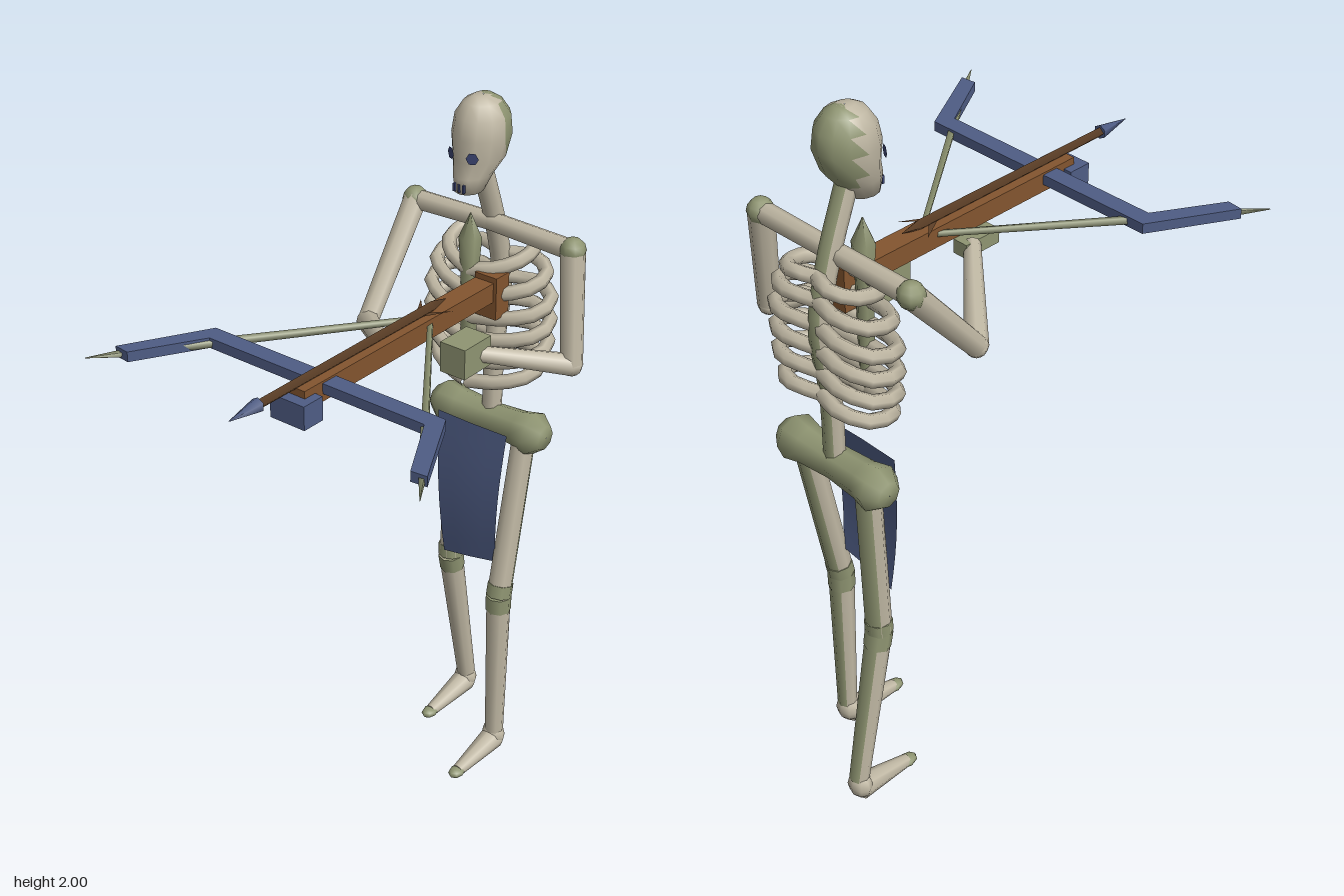
import * as THREE from 'three';
import { mergeVertices } from 'three/addons/utils/BufferGeometryUtils.js';

const mat = (name, color, side = THREE.FrontSide) => {
  const m = new THREE.MeshStandardMaterial({ color, side });
  m.name = name;
  return m;
};
const V = (x, y, z) => new THREE.Vector3(x, y, z);

export function createModel() {
  const bone = mat('pale bone', 0xbfb7a3);
  const moss = mat('mossy bone', 0x8f9572);
  const blue = mat('blue steel and cloth', 0x4f5d85, THREE.DoubleSide);
  const wood = mat('wood', 0x83552f);
  const dark = mat('dark wood', 0x5f4128, THREE.DoubleSide);
  const eyeMat = mat('eye blue', 0x3c4673, THREE.DoubleSide);

  const model = new THREE.Group();
  model.name = 'skeletonCrossbowman';
  const CX = -0.065; // body centre line

  const add = (name, geo, material, parent = model) => {
    const m = new THREE.Mesh(geo, material);
    m.name = name;
    parent.add(m);
    return m;
  };
  const group = (name, parent = model) => {
    const g = new THREE.Group();
    g.name = name;
    parent.add(g);
    return g;
  };
  const box = (name, x, y, z, w, h, d, material, parent) =>
    add(name, new THREE.BoxGeometry(w, h, d).translate(x, y, z), material, parent);

  // Tapered bar between two points
  const bar = (a, b, ra, rb, sides = 8) => {
    const dir = b.clone().sub(a);
    const g = new THREE.CylinderGeometry(rb, ra, dir.length(), sides);
    g.applyQuaternion(new THREE.Quaternion().setFromUnitVectors(V(0, 1, 0), dir.normalize()));
    const c = a.clone().add(b).multiplyScalar(0.5);
    return g.translate(c.x, c.y, c.z);
  };
  const ball = (p, r, sx = 1, sy = 1, sz = 1) =>
    new THREE.SphereGeometry(r, 8, 6).scale(sx, sy, sz).translate(p.x, p.y, p.z);

  // Splits the faces between pale (group 0) and mossy (group 1) bone
  const twoTone = (geo, isMoss) => {
    const pos = geo.attributes.position, idx = geo.index.array, lists = [[], []];
    for (let i = 0; i < idx.length; i += 3) {
      const t = [0, 1, 2].map(k => new THREE.Vector3().fromBufferAttribute(pos, idx[i + k]));
      const tri = new THREE.Triangle(...t);
      const hit = isMoss(tri.getMidpoint(V(0, 0, 0)), tri.getNormal(V(0, 0, 0)));
      lists[hit ? 1 : 0].push(idx[i], idx[i + 1], idx[i + 2]);
    }
    geo.setIndex([...lists[0], ...lists[1]]);
    geo.clearGroups();
    geo.addGroup(0, lists[0].length, 0);
    geo.addGroup(lists[0].length, lists[1].length, 1);
    return geo;
  };
  const backMoss = (c, n) => n.z < -0.4;
  const tones = [bone, moss];

  // Skull: rings of [y, half width, front z, back z]
  const head = group('head');
  const rings = [
    [1.757, 0.001, -0.385, -0.39], [1.757, 0.035, -0.345, -0.43], [1.80, 0.048, -0.34, -0.465],
    [1.84, 0.066, -0.352, -0.50], [1.90, 0.075, -0.348, -0.522], [1.95, 0.07, -0.36, -0.515],
    [1.985, 0.048, -0.383, -0.49], [2.0, 0.022, -0.41, -0.465], [2.0, 0.001, -0.435, -0.44]];
  let skull = new THREE.LatheGeometry(rings.map(r => new THREE.Vector2(r[1], r[0])), 12);
  const sp = skull.attributes.position;
  for (let i = 0; i < sp.count; i++) {
    const [, w, f, b] = rings[i % rings.length];
    sp.setXYZ(i, CX + sp.getX(i), sp.getY(i), (f + b) / 2 + (sp.getZ(i) / w) * (f - b) / 2);
  }
  skull.deleteAttribute('uv');
  skull.deleteAttribute('normal');
  skull = mergeVertices(skull, 1e-4);
  skull.computeVertexNormals();
  add('skull', twoTone(skull, c => c.z < -0.45 || c.y < 1.77), tones, head);
  for (const s of [-1, 1]) {
    const eye = add('eyeSocket', new THREE.CircleGeometry(0.017, 6), eyeMat, head);
    eye.position.set(CX + s * 0.034, 1.86, -0.351);
    eye.rotation.y = s * 0.45;
  }
  for (let i = -1; i <= 1; i++)
    box('toothGap', CX + i * 0.015, 1.775, -0.343, 0.006, 0.022, 0.006, eyeMat, head);

  // Spine and neck
  const spine = new THREE.CatmullRomCurve3([V(CX, 1.05, -0.51), V(CX, 1.25, -0.515), V(CX, 1.45, -0.54),
    V(CX, 1.62, -0.505), V(CX, 1.80, -0.44)]);
  add('spine', twoTone(new THREE.TubeGeometry(spine, 14, 0.028, 8), backMoss), tones);

  // Rib cage: six mirrored pairs of [back y, half width]
  const ribs = group('ribCage');
  [[1.59, 0.125], [1.525, 0.17], [1.455, 0.19], [1.39, 0.19], [1.325, 0.185], [1.26, 0.165]].forEach(([y, w]) => {
    for (const s of [-1, 1]) {
      const path = new THREE.CatmullRomCurve3([
        V(CX, y, -0.54), V(CX + s * w * 0.5, y + 0.005, -0.565), V(CX + s * w * 0.9, y - 0.01, -0.53),
        V(CX + s * w * 0.93, y - 0.025, -0.46), V(CX + s * w * 0.55, y - 0.045, -0.41), V(CX, y - 0.06, -0.39)]);
      add('rib', new THREE.TubeGeometry(path, 10, 0.02, 6), bone, ribs);
    }
  });
  const sternum = [[0.001, 1.19], [0.02, 1.23], [0.024, 1.52], [0.031, 1.62], [0.001, 1.69]];
  add('sternum', new THREE.LatheGeometry(sternum.map(p => new THREE.Vector2(...p)), 6)
    .translate(CX, 0, -0.395), moss, ribs);

  // Pelvis: a turned bar lying across x
  const hip = [[0.001, -0.19], [0.035, -0.187], [0.063, -0.15], [0.052, -0.1], [0.045, 0],
    [0.052, 0.1], [0.063, 0.15], [0.035, 0.187], [0.001, 0.19]];
  add('pelvis', new THREE.LatheGeometry(hip.map(p => new THREE.Vector2(...p)), 8)
    .rotateZ(Math.PI / 2).translate(CX, 1.035, -0.505), moss);

  // Legs: hip, knee, ankle, toe
  const leg = (name, x, hz, kz, az) => {
    const g = group(name);
    const h = V(x, 1.02, hz), k = V(x + 0.003, 0.545, kz), a = V(x + 0.003, 0.07, az);
    add('thigh', twoTone(bar(h, k, 0.034, 0.035), backMoss), tones, g);
    add('shin', twoTone(bar(k, a, 0.035, 0.027), backMoss), tones, g);
    const up = k.clone().lerp(h, 0.08), down = k.clone().lerp(a, 0.1);
    add('kneeUpper', bar(k, up, 0.037, 0.037), moss, g);
    add('kneeLower', bar(down, k, 0.036, 0.037), moss, g);
    add('heel', ball(V(x, 0.05, az), 0.038, 1, 1.05, 0.8), bone, g);
    const foot = bar(V(x, 0.04, az), V(x, 0.017, az + 0.17), 0.036, 0.018);
    add('foot', foot, bone, g);
    add('toe', ball(V(x, 0.016, az + 0.172), 0.02, 1.1, 0.75, 1.6), moss, g);
  };
  leg('rightLeg', -0.183, -0.51, -0.485, -0.572);
  leg('leftLeg', 0.055, -0.5, -0.4, -0.397);

  // Arms: shoulder, elbow, wrist and a blocky hand
  const arm = (name, s, e, w, hand, size) => {
    const g = group(name);
    add('collarBone', bar(V(CX, 1.635, -0.485), s, 0.026, 0.028), bone, g);
    add('shoulder', ball(s, 0.036), moss, g);
    add('upperArm', bar(s, e, 0.034, 0.03), bone, g);
    add('elbow', ball(e, 0.031), bone, g);
    add('forearm', bar(e, w, 0.031, 0.022), bone, g);
    box('hand', ...hand, ...size, moss, g);
  };
  arm('rightArm', V(-0.315, 1.63, -0.48), V(-0.288, 1.365, -0.245), V(-0.06, 1.455, -0.03),
    [-0.053, 1.45, -0.008], [0.045, 0.04, 0.115]);
  arm('leftArm', V(0.2, 1.63, -0.48), V(0.24, 1.33, -0.44), V(0.07, 1.39, -0.24),
    [0.055, 1.39, -0.225], [0.08, 0.085, 0.11]);

  // Loincloth: a bent sheet narrowing downward with a slanted hem
  const cloth = new THREE.PlaneGeometry(1, 1, 4, 8);
  const cp = cloth.attributes.position;
  for (let i = 0; i < cp.count; i++) {
    const u = cp.getX(i) + 0.5, t = 0.5 - cp.getY(i);
    const left = -0.18 + 0.035 * t, right = 0.055 - 0.02 * t;
    cp.setXYZ(i, left + (right - left) * u, 1.055 - t * (0.445 - 0.035 * u),
      -0.415 + 0.02 * Math.sin(t * 2.6) - 0.006 * Math.abs(u - 0.5));
  }
  cloth.computeVertexNormals();
  add('loincloth', cloth, blue);

  // Crossbow
  const bow = group('crossbow');
  box('stock', 0, 1.497, -0.02, 0.06, 0.055, 0.78, wood, bow);
  box('butt', 0.005, 1.48, -0.4, 0.07, 0.12, 0.055, wood, bow);
  box('noseBlock', 0, 1.472, 0.367, 0.108, 0.065, 0.068, blue, bow);
  const outline = [[-0.365, 0.255], [0.365, 0.255], [0.49, 0.482], [0.445, 0.487], [0.34, 0.305],
    [-0.34, 0.305], [-0.445, 0.487], [-0.49, 0.482]];
  add('bowLimbs', new THREE.ExtrudeGeometry(new THREE.Shape(outline.map(p => new THREE.Vector2(...p))),
    { depth: 0.028, bevelEnabled: false }).rotateX(Math.PI / 2).translate(0, 1.519, 0), blue, bow);
  for (const s of [-1, 1]) {
    add('string', bar(V(s * 0.01, 1.505, -0.135), V(s * 0.44, 1.503, 0.435), 0.009, 0.013, 4), moss, bow);
    add('stringTip', bar(V(s * 0.44, 1.503, 0.435), V(s * 0.525, 1.503, 0.553), 0.015, 0.001, 4), moss, bow);
  }

  // Bolt with a steel point
  const bolt = group('bolt');
  add('shaft', bar(V(0, 1.535, -0.15), V(0, 1.535, 0.5), 0.016, 0.014, 4), dark, bolt);
  add('shaftTail', bar(V(0, 1.535, -0.21), V(0, 1.535, -0.15), 0.001, 0.016, 4), dark, bolt);
  add('point', bar(V(0, 1.535, 0.5), V(0, 1.535, 0.6), 0.02, 0.001, 6), blue, bolt);
  for (const s of [-1, 1]) {
    const fin = new THREE.Shape([[0.01, -0.13], [0.053, -0.175], [0.01, -0.1]].map(p => new THREE.Vector2(s * p[0], p[1])));
    add('fletching', new THREE.ShapeGeometry(fin).rotateX(Math.PI / 2).translate(0, 1.53, 0), dark, bolt);
  }
  return model;
}
